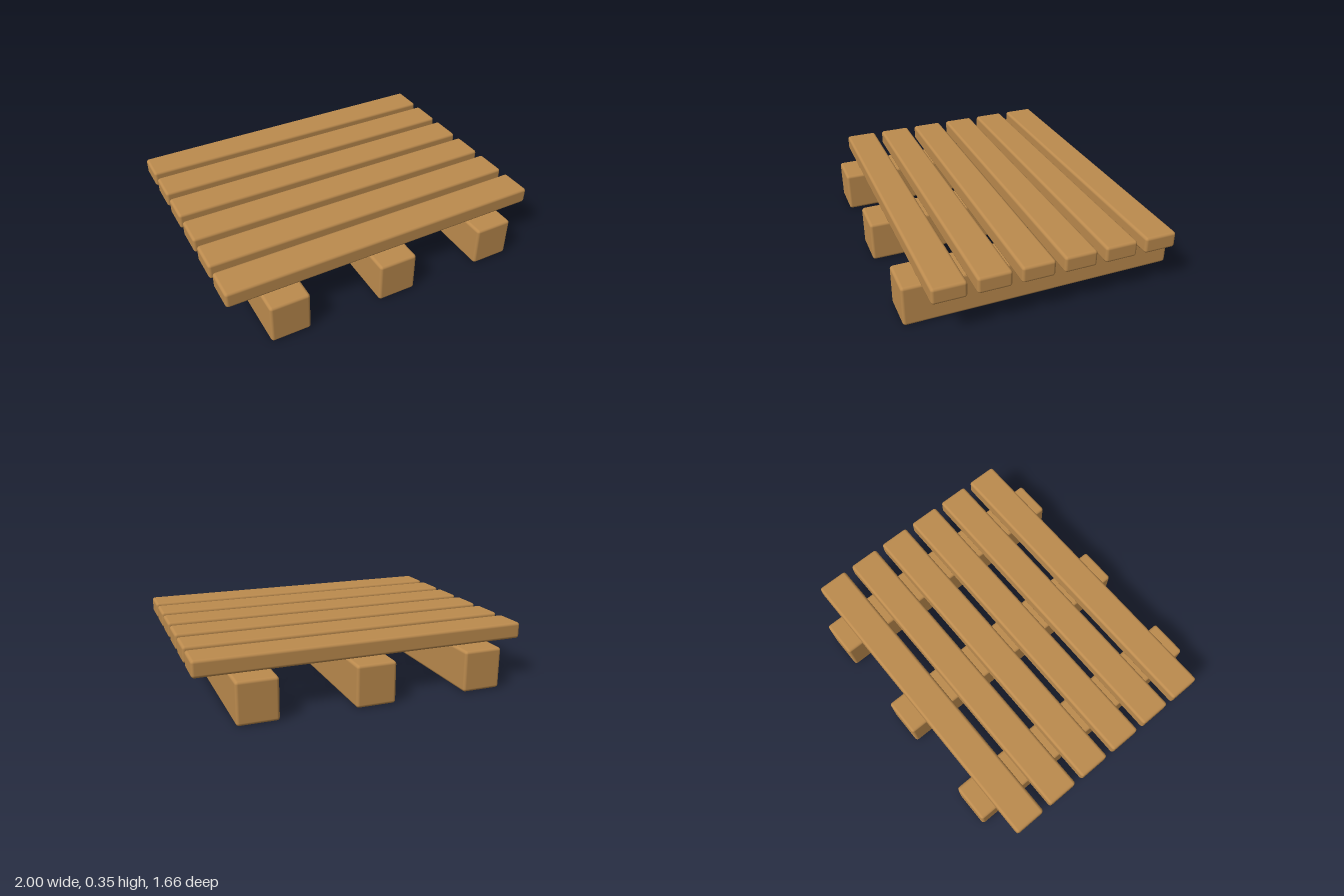
import * as THREE from 'three';
import { RoundedBoxGeometry } from 'three/addons/geometries/RoundedBoxGeometry.js';

export function createModel() {
  const model = new THREE.Group();
  model.name = 'woodenPallet';

  const wood = new THREE.MeshStandardMaterial({ color: 0xbc8b4e });
  wood.name = 'warm wood';

  // Three square runners, front to back
  const runners = new THREE.Group();
  runners.name = 'runners';
  const runnerGeometry = new RoundedBoxGeometry(0.24, 0.25, 1.66, 2, 0.018);
  for (let i = 0; i < 3; i++) {
    const runner = new THREE.Mesh(runnerGeometry, wood);
    runner.name = `runner${i + 1}`;
    runner.position.set((i - 1) * 0.68, 0.125, 0);
    runners.add(runner);
  }

  // Six deck boards, side to side
  const deck = new THREE.Group();
  deck.name = 'deckBoards';
  const boardGeometry = new RoundedBoxGeometry(2, 0.1, 0.198, 2, 0.018);
  for (let i = 0; i < 6; i++) {
    const board = new THREE.Mesh(boardGeometry, wood);
    board.name = `deckBoard${i + 1}`;
    board.position.set(0, 0.304, (i - 2.5) * 0.25);
    deck.add(board);
  }

  model.add(runners, deck);
  return model;
}
